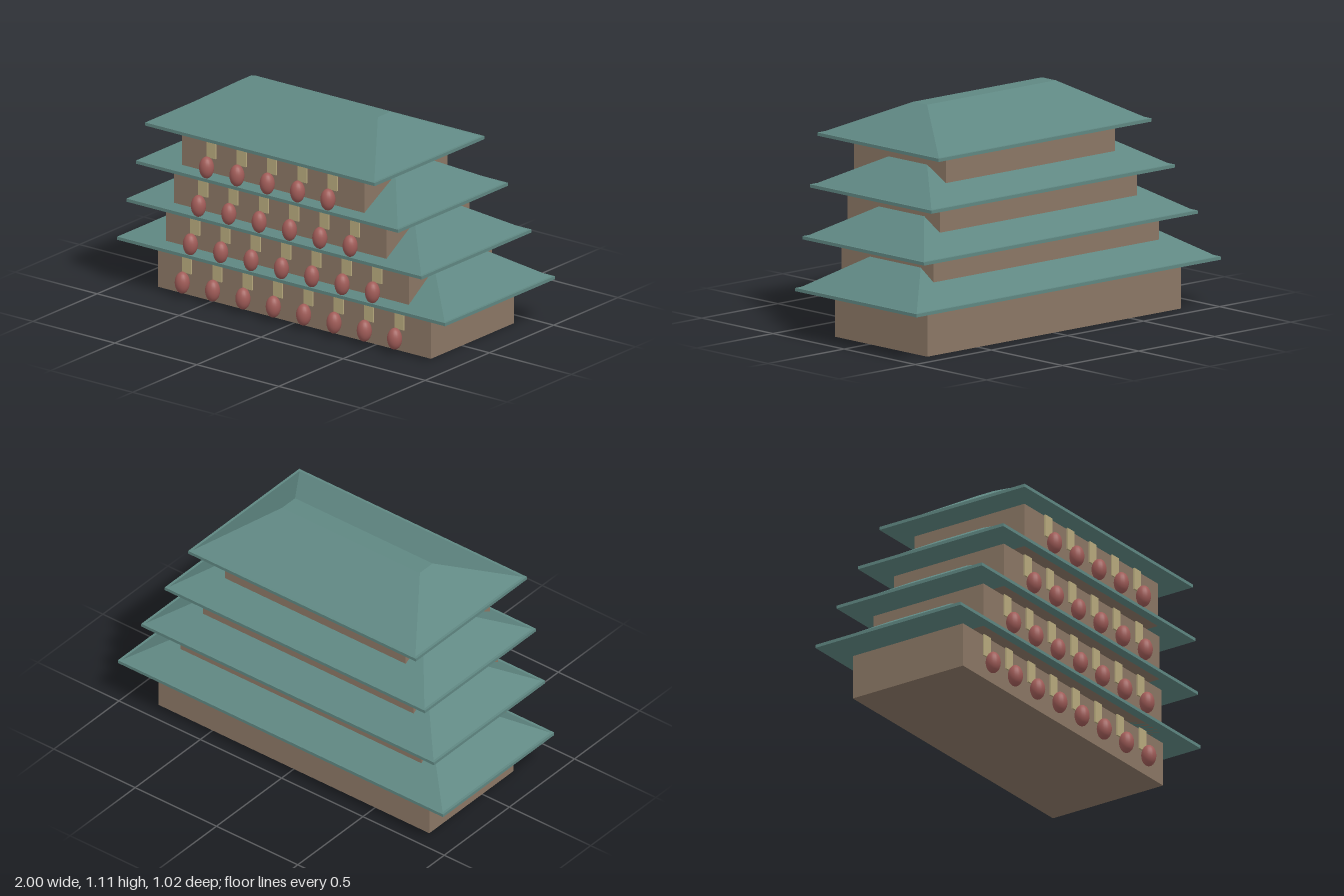
import * as THREE from 'three';

const paint = (color) => new THREE.MeshStandardMaterial({ color });

const FLOOR = 0.2315;      // storey height
const WALL_H = 0.224;
const DEPTH = 0.647;       // wall depth
const ROOF_DEPTH = 0.853;
const SLAB_H = 0.016;
const SPACING = 0.185;     // lantern spacing

// Hipped roof: a box whose upper corners are drawn in to a narrow flat ridge
function hipGeometry(width, depth, height, ridgeWidth, ridgeDepth) {
  const geo = new THREE.BoxGeometry(width, height, depth);
  const p = geo.attributes.position;
  for (let i = 0; i < p.count; i++) {
    if (p.getY(i) > 0) {
      p.setX(i, Math.sign(p.getX(i)) * ridgeWidth / 2);
      p.setZ(i, Math.sign(p.getZ(i)) * ridgeDepth / 2);
    }
  }
  geo.translate(0, height / 2, 0);
  geo.computeVertexNormals();
  return geo;
}

export function createModel() {
  const model = new THREE.Group();
  model.name = 'tieredHall';
  const wallMat = paint(0x8b7765);
  const roofMat = paint(0x5f8782);
  const bannerMat = paint(0xb8aa7e);
  const lanternMat = paint(0xa05c58);

  const bannerGeo = new THREE.BoxGeometry(0.056, 0.111, 0.008);
  const lanternGeo = new THREE.SphereGeometry(0.0365, 20, 14);
  lanternGeo.scale(1, 1.49, 1);

  const add = (parent, name, geo, mat, x, y, z) => {
    const mesh = new THREE.Mesh(geo, mat);
    mesh.name = name;
    mesh.position.set(x, y, z);
    parent.add(mesh);
  };

  // Four storeys, each narrower and stepped towards the front
  for (let i = 0; i < 4; i++) {
    const storey = new THREE.Group();
    storey.name = `storey${i + 1}`;
    storey.position.set(0, i * FLOOR, -0.0825 + i * 0.055);
    model.add(storey);

    // Walls
    const wallWidth = 1.666 - i * SPACING;
    add(storey, 'walls', new THREE.BoxGeometry(wallWidth, WALL_H, DEPTH), wallMat, 0, WALL_H / 2, 0);

    // Eaves slab and hipped roof
    const roofWidth = 2 - i * 0.2;
    add(storey, 'eaves', new THREE.BoxGeometry(roofWidth, SLAB_H, ROOF_DEPTH), roofMat,
      0, FLOOR + SLAB_H / 2, 0);
    add(storey, 'hipRoof',
      hipGeometry(roofWidth - 0.026, ROOF_DEPTH - 0.026, 0.119 * roofWidth + 0.002, roofWidth * 0.604, 0.097),
      roofMat, 0, FLOOR + SLAB_H, 0);

    // Row of banners with hanging lanterns along the front
    const count = 8 - i;
    for (let k = 0; k < count; k++) {
      const x = (k - (count - 1) / 2) * SPACING;
      add(storey, 'banner', bannerGeo, bannerMat, x, 0.1685, DEPTH / 2 + 0.009);
      add(storey, 'lantern', lanternGeo, lanternMat, x, 0.075, DEPTH / 2 + 0.0465);
    }
  }
  return model;
}
